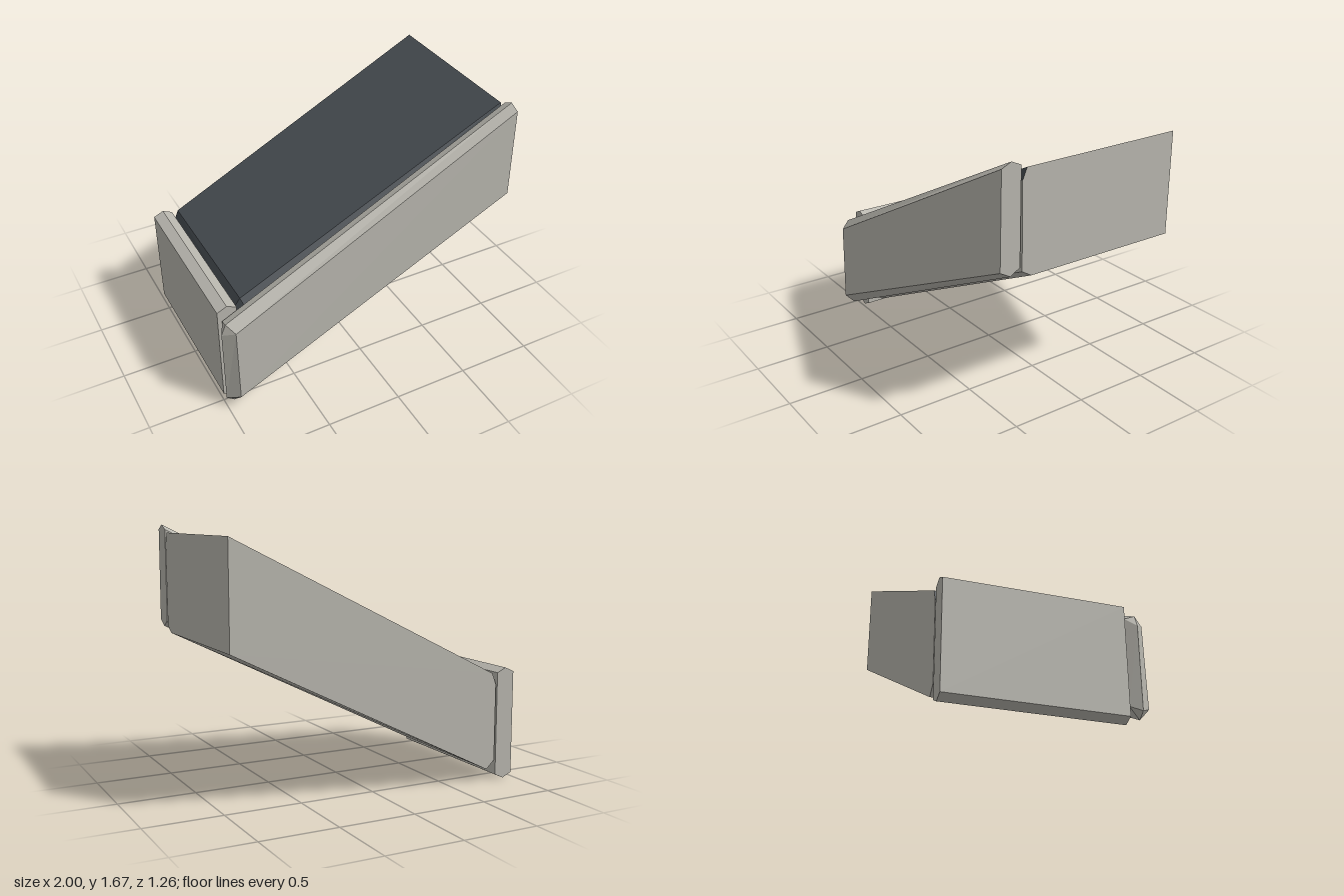
import * as THREE from 'three';

const stone = new THREE.MeshStandardMaterial({ color: 0xb9b7af });
stone.name = 'pale stone';
const slate = new THREE.MeshStandardMaterial({ color: 0x454b50 });
slate.name = 'dark slate';
stone.flatShading = slate.flatShading = true;

// Skins a list of rings; the first ring is counter-clockwise seen from outside.
// The first slateStrips strips of each ring take the slate material.
function loft(name, rings, slateStrips = 0) {
  const faces = [[], []];
  const tri = (list, a, b, c) => {
    const [p, q, r] = [a, b, c].map((v) => new THREE.Vector3(...v));
    if (q.sub(p).cross(r.sub(p)).length() > 1e-6) list.push(...a, ...b, ...c);
  };
  const cap = (ring) => {
    for (let i = 1; i < ring.length - 1; i++) tri(faces[0], ring[0], ring[i], ring[i + 1]);
  };
  for (let r = 0; r < rings.length - 1; r++) {
    const a = rings[r], b = rings[r + 1], n = a.length;
    for (let i = 0; i < n; i++) {
      const j = (i + 1) % n, list = faces[i < slateStrips ? 1 : 0];
      tri(list, a[i], b[i], b[j]);
      tri(list, a[i], b[j], a[j]);
    }
  }
  cap(rings[0]);
  cap([...rings[rings.length - 1]].reverse());
  const geometry = new THREE.BufferGeometry();
  geometry.setAttribute('position', new THREE.Float32BufferAttribute([...faces[0], ...faces[1]], 3));
  geometry.addGroup(0, faces[0].length / 3, 0);
  geometry.addGroup(faces[0].length / 3, faces[1].length / 3, 1);
  geometry.computeVertexNormals();
  const mesh = new THREE.Mesh(geometry, slateStrips ? [stone, slate] : stone);
  mesh.name = name;
  return mesh;
}

export function createModel() {
  const group = new THREE.Group();
  group.name = 'slopedBlock';

  // Sloping core with a dark top and bevelled front and lower edges
  group.add(loft('slopedCore', [
    [[1, 1.63, -0.63], [1, 1.62, 0.45], [1, 1.55, 0.48], [1, 1.01, 0.475], [1, 0.97, 0.41], [1, 0.97, -0.63]],
    [[-0.82, 0.715, -0.63], [-0.81, 0.71, 0.41], [-0.79, 0.65, 0.475],
      [-0.79, 0.13, 0.475], [-0.79, 0.078, 0.41], [-0.79, 0.075, -0.63]],
    [[-0.85, 0.64, -0.63], [-0.85, 0.64, 0.4], [-0.85, 0.62, 0.41],
      [-0.85, 0.14, 0.41], [-0.85, 0.13, 0.4], [-0.85, 0.13, -0.63]],
  ], 2));

  // Sloping front plank with ridged edges and a wedge-shaped lower end
  const zMid = 0.555, topTip = [-1, 0.6, zMid], lowTip = [-1, 0.07, zMid];
  group.add(loft('frontPlank', [
    [[1, 1.67, zMid], [1, 1.64, 0.62], [1, 1.04, 0.625], [1, 1, zMid], [1, 1.04, 0.49], [1, 1.64, 0.49]],
    [[-0.97, 0.675, zMid], [-0.93, 0.635, 0.62], [-0.93, 0.11, 0.63],
      [-0.95, 0.03, zMid], [-0.965, 0.1, 0.487], [-0.965, 0.65, 0.49]],
    [topTip, topTip, lowTip, lowTip, lowTip, topTip],
  ]));

  // Upright end plank with ridged top and bottom
  const profile = [[-0.925, 0.745], [-0.99, 0.715], [-0.99, 0.03], [-0.925, 0], [-0.862, 0.03], [-0.862, 0.715]];
  group.add(loft('endPlank', [0.48, -0.63].map((z) => profile.map(([x, y]) => [x, y, z]))));

  return group;
}
